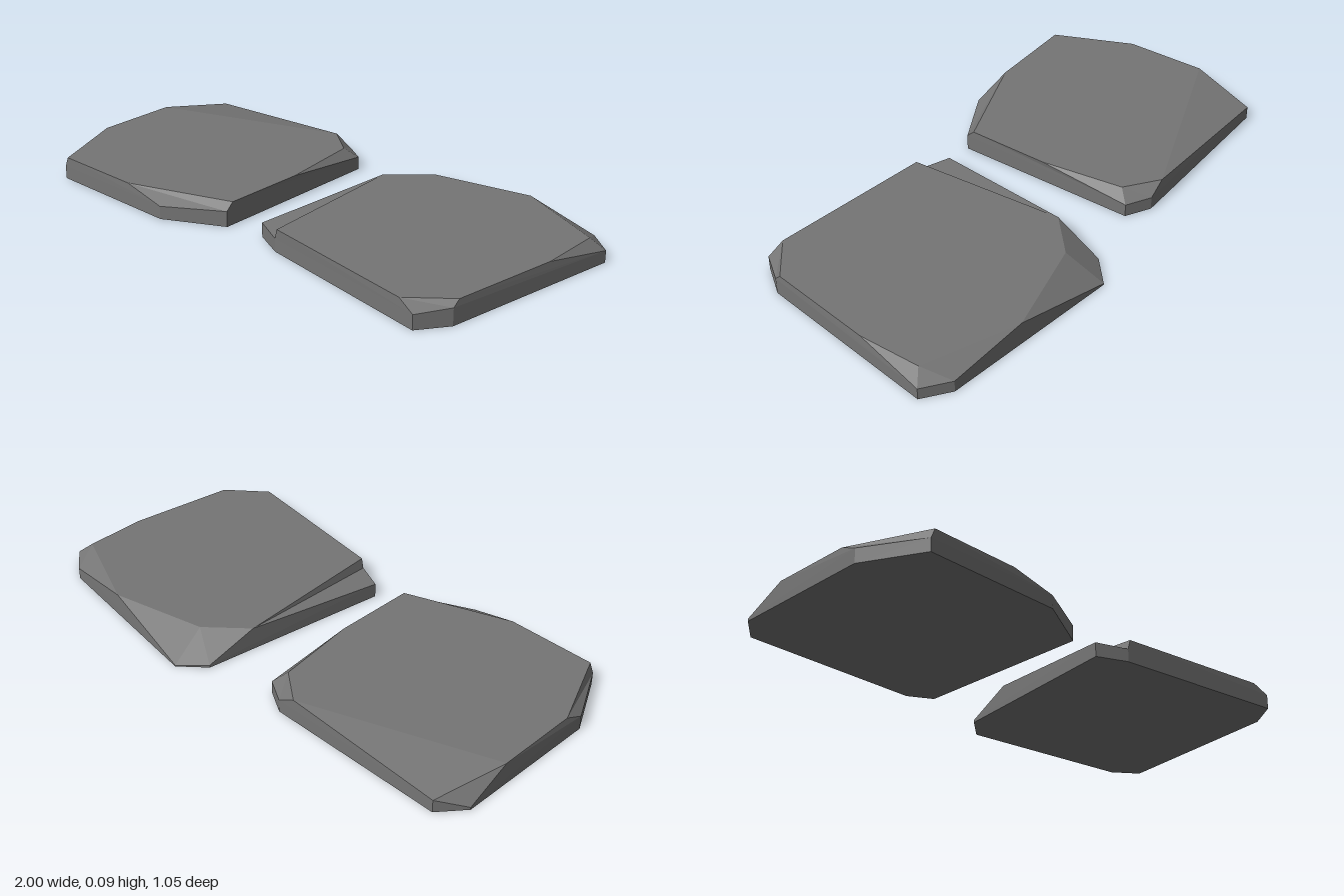
import * as THREE from 'three';

const TOP = 0.088;
const stone = new THREE.MeshStandardMaterial({ color: 0x757575 });
stone.name = 'stone grey';

// Each section: rim x, rim z, rim height, top x, top z (clockwise seen from above).
const leftSections = [
  [-1, -0.25, 0.01, -0.985, -0.08],
  [-0.93, -0.35, 0.05, -0.985, -0.08],
  [-0.23, -0.405, 0.05, -0.30, -0.398],
  [-0.135, -0.36, 0.05, -0.17, -0.315],
  [-0.135, -0.36, 0.05, -0.10, 0],
  [-0.072, 0.345, 0.06, -0.075, 0.315],
  [-0.285, 0.48, 0.05, -0.46, 0.492],
  [-0.82, 0.523, 0.05, -0.805, 0.521],
  [-0.955, 0.31, 0.055, -0.957, 0.235],
];
const rightSections = [
  [0.12, -0.44, 0.01, 0.11, -0.25],
  [0.205, -0.53, 0.005, 0.24, -0.39],
  [0.90, -0.485, 0.045, 0.60, -0.503],
  [1, -0.42, 0.045, 0.955, -0.385],
  [1, -0.42, 0.045, 0.978, -0.15],
  [0.952, 0.28, 0.065, 0.952, 0.255],
  [0.885, 0.392, 0.055, 0.82, 0.387],
  [0.19, 0.348, 0.05, 0.20, 0.349],
  [0.072, 0.305, 0.055, 0.11, -0.25],
];

// Slab with upright walls, chipped upper rim and flat top and bottom.
function slab(name, sections) {
  const base = sections.map(([x, z]) => new THREE.Vector3(x, 0, z));
  const rim = sections.map(([x, z, y]) => new THREE.Vector3(x, y, z));
  const top = sections.map((s) => new THREE.Vector3(s[3], TOP, s[4]));
  const points = [];
  const tri = (a, b, c) => {
    if (new THREE.Triangle(a, b, c).getArea() > 1e-7) points.push(a, b, c);
  };
  const n = sections.length;
  for (let i = 0; i < n; i++) {
    const j = (i + 1) % n;
    // wall
    tri(base[j], base[i], rim[i]);
    tri(base[j], rim[i], rim[j]);
    // chipped facets
    tri(rim[j], rim[i], top[j]);
    tri(top[j], rim[i], top[i]);
    // top and bottom
    tri(top[0], top[j], top[i]);
    tri(base[0], base[i], base[j]);
  }
  const geometry = new THREE.BufferGeometry().setFromPoints(points);
  geometry.computeVertexNormals();
  const mesh = new THREE.Mesh(geometry, stone);
  mesh.name = name;
  return mesh;
}

export function createModel() {
  const group = new THREE.Group();
  group.name = 'pavingStones';
  group.add(slab('rightStone', leftSections), slab('leftStone', rightSections));
  return group;
}
